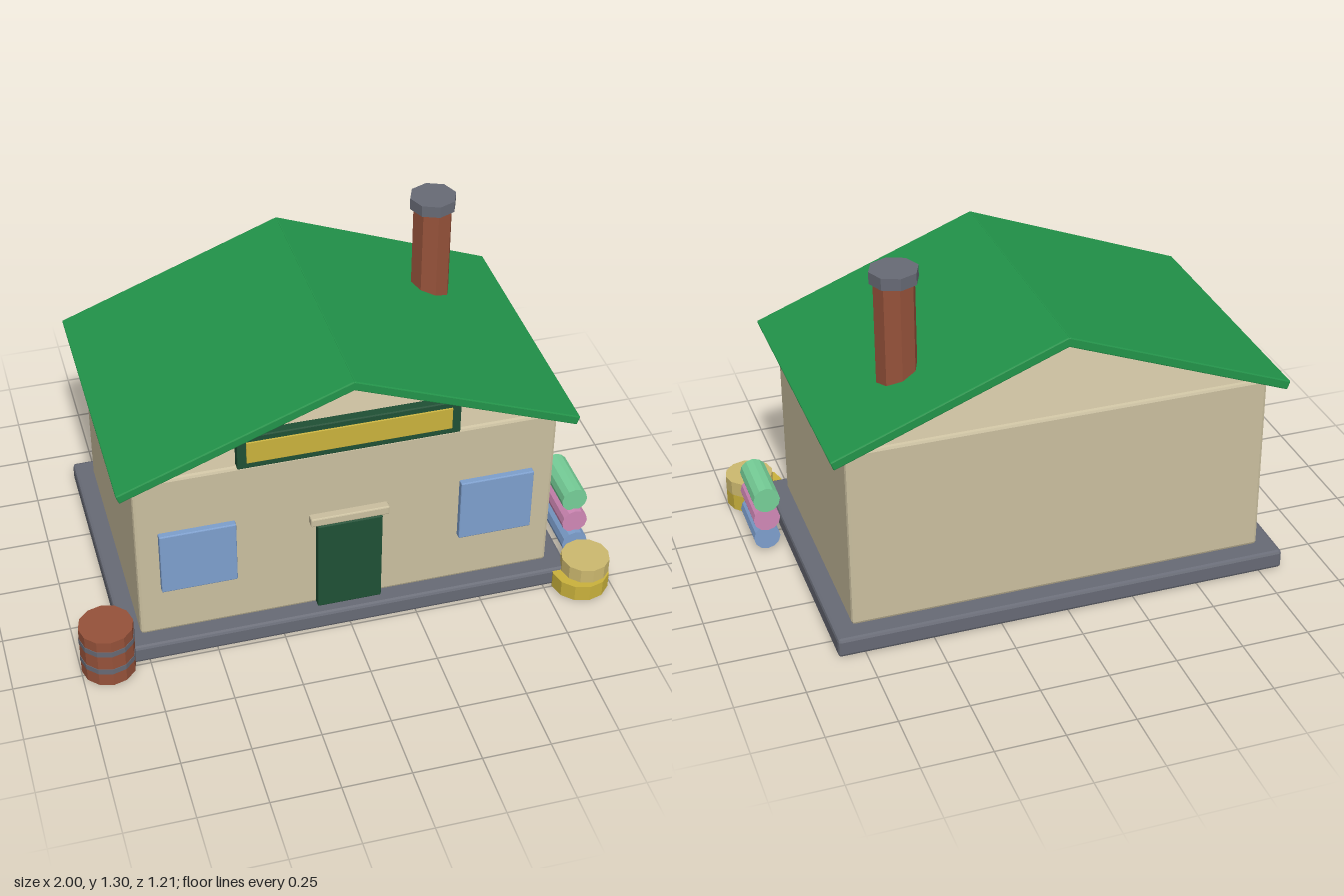
import * as THREE from 'three';
import { RoundedBoxGeometry } from 'three/addons/geometries/RoundedBoxGeometry.js';

const material = (name, color) => {
  const m = new THREE.MeshStandardMaterial({ color });
  m.name = name;
  return m;
};

// Flat facets for every low-poly part
function flat(geometry) {
  const g = geometry.index ? geometry.toNonIndexed() : geometry;
  g.computeVertexNormals();
  return g;
}

export function createModel() {
  const stone = material('stone grey', 0x676a75);
  const plaster = material('plaster beige', 0xcabf9f);
  const roofGreen = material('roof green', 0x22944a);
  const darkGreen = material('dark green', 0x1f5035);
  const glass = material('window blue', 0x7d9fcd);
  const brick = material('brick red', 0x96523a);
  const yellow = material('mustard yellow', 0xcab23c);
  const tan = material('straw tan', 0xcdb96f);
  const mint = material('mint green', 0x76cf98);
  const pink = material('pink', 0xd088b6);

  const model = new THREE.Group();
  model.name = 'cottage';
  const house = new THREE.Group();
  house.name = 'house';
  house.position.x = 0.005;
  model.add(house);

  const add = (parent, name, geometry, mat, x, y, z) => {
    const mesh = new THREE.Mesh(flat(geometry), mat);
    mesh.name = name;
    mesh.position.set(x, y, z);
    parent.add(mesh);
    return mesh;
  };
  // Chamfered box given by its limits on y and z and its centre and width on x
  const block = (name, mat, x, w, y0, y1, z0, z1, bevel) =>
    add(house, name, new RoundedBoxGeometry(w, y1 - y0, z1 - z0, 1, bevel), mat,
      x, (y0 + y1) / 2, (z0 + z1) / 2);
  // Upright cylinder standing at y0
  const drum = (parent, name, mat, r, y0, y1, x, z, sides = 12) =>
    add(parent, name, new THREE.CylinderGeometry(r, r, y1 - y0, sides), mat, x, (y0 + y1) / 2, z);

  // Base and walls
  block('base', stone, 0, 1.685, 0, 0.073, -0.605, 0.49, 0.012);
  block('walls', plaster, 0, 1.545, 0.072, 0.77, -0.532, 0.424, 0.012);

  // Roof slabs meeting at the ridge, open at the gables
  const ridge = new THREE.Vector2(-0.006, 1.084);
  const eave = new THREE.Vector2(0.829, 0.763);
  const slope = Math.atan2(ridge.y - eave.y, eave.x - ridge.x);
  for (const side of [-1, 1]) {
    const slab = add(house, side > 0 ? 'leftRoof' : 'rightRoof',
      new RoundedBoxGeometry(ridge.distanceTo(eave), 0.034, 1.067, 1, 0.004), roofGreen,
      side * (ridge.x + eave.x) / 2, (ridge.y + eave.y) / 2, -0.053);
    slab.rotation.z = -side * slope;
  }

  // Door, lintel and windows
  block('door', darkGreen, 0, 0.24, 0.078, 0.46, 0.41, 0.455, 0.004);
  block('lintel', plaster, 0, 0.29, 0.463, 0.498, 0.41, 0.455, 0.005);
  for (const side of [-1, 1])
    block(side > 0 ? 'leftWindow' : 'rightWindow', glass, side * 0.552, 0.276, 0.278, 0.535, 0.415, 0.448, 0.004);

  // Blank sign board under the gable
  block('signFrame', darkGreen, 0, 0.805, 0.77, 0.907, 0.4, 0.437, 0.004);
  block('signPanel', yellow, 0, 0.74, 0.795, 0.884, 0.434, 0.442, 0.002);

  // Chimney
  drum(house, 'chimney', brick, 0.074, 0.812, 1.252, 0.513, -0.277, 8);
  drum(house, 'chimneyCap', stone, 0.0875, 1.252, 1.296, 0.513, -0.277, 8);

  // Barrel with two hoops
  const barrel = new THREE.Group();
  barrel.name = 'barrel';
  barrel.position.set(-0.899, 0, 0.476);
  model.add(barrel);
  drum(barrel, 'barrelBody', brick, 0.099, 0, 0.205, 0, 0);
  for (const y of [0.055, 0.138]) drum(barrel, 'barrelHoop', stone, 0.101, y, y + 0.022, 0, 0);

  // Two stacked tubs
  drum(model, 'lowerTub', yellow, 0.108, 0, 0.065, 0.89, 0.5);
  drum(model, 'upperTub', tan, 0.091, 0.065, 0.122, 0.908, 0.495);

  // Stack of cloth rolls lying front to back
  [['blueRoll', glass], ['pinkRoll', pink], ['mintRoll', mint]].forEach(([name, mat], i) => {
    const roll = drum(model, name, mat, 0.05, 0, 0.222, 0.925, 0.24 - i * 0.0175);
    roll.position.y = 0.058 + i * 0.091;
    roll.rotation.x = Math.PI / 2;
  });

  return model;
}
